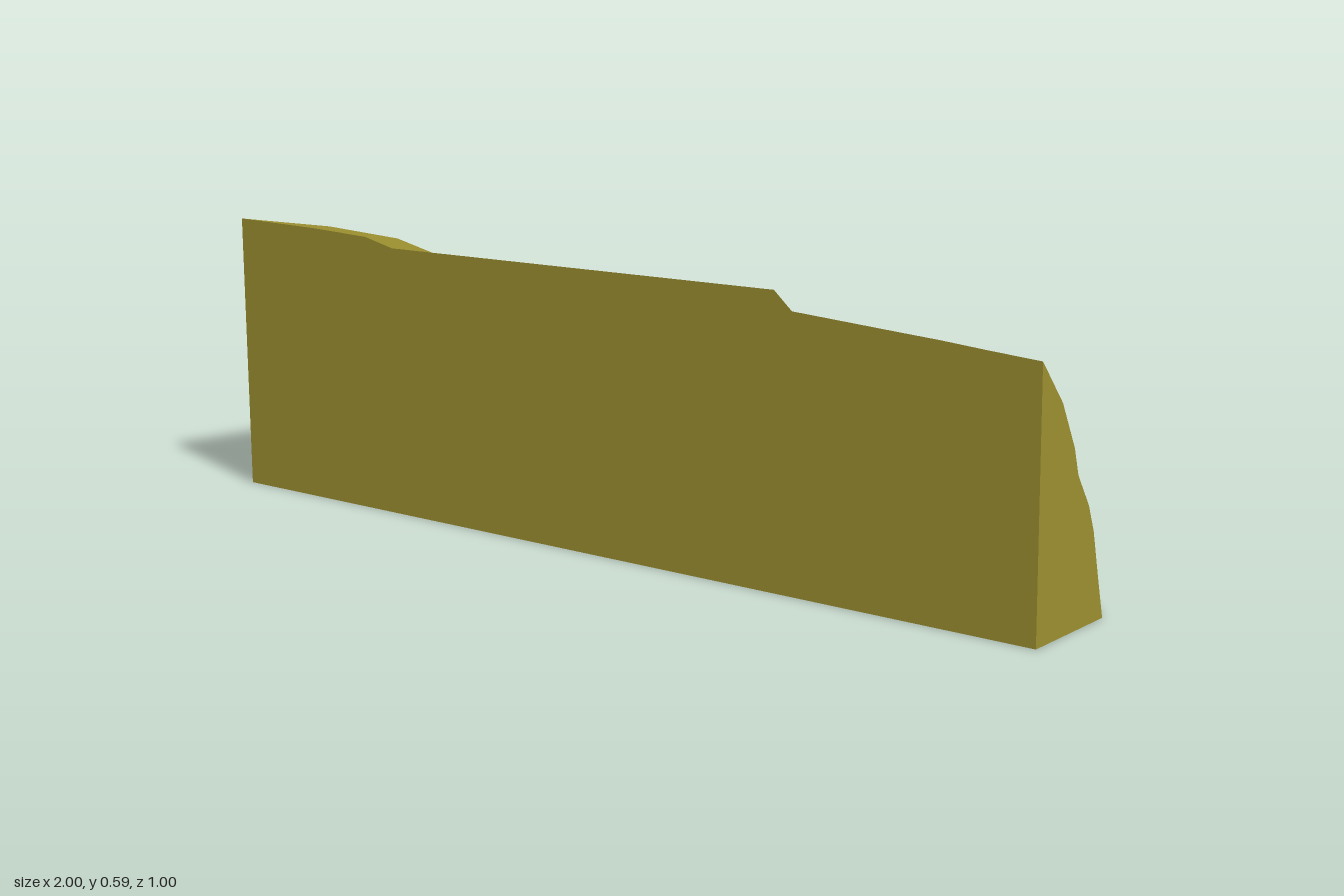
import * as THREE from 'three';

// Slope profiles as z and y from the top front edge down to the back of the base
const profile = (z, y) => z.map((v, j) => new THREE.Vector2(v, y[j]));
const boulder = profile([.5, .25, .085, -.08, -.2, -.285, -.38, -.5], [.59, .55, .485, .395, .24, .14, .08, 0]);
const gully = profile([.5, .33, .17, .03, -.06, -.13, -.22, -.32], [.578, .47, .385, .305, .19, .1, .04, 0]);
const bank = profile([.5, .4, .29, .18, .1, .02, -.07, -.12], [.56, .46, .345, .275, .18, .1, .025, 0]);
const tip = profile([.5, .43, .385, .37, .33, .31, .29, .27], [.49, .41, .325, .275, .215, .165, .08, 0]);

// Section at x: blend two profiles, then move its top edge and its foot, with the shift fading along the slope
function section(x, from, to, t, top, foot) {
  const pts = from.map((p, j) => p.clone().lerp(to[j], t));
  const last = pts.length - 1;
  const rise = top - pts[0].y, push = foot - pts[last].x;
  return pts.map((p, j) => new THREE.Vector3(
    x, p.y + rise * (1 - j / last) ** 4, p.x + push * (j / last) ** 4));
}

const sections = [
  section(-1, boulder, boulder, 0, .59, -.5),
  section(-.77, boulder, gully, .1, .585, -.385),
  section(-.61, gully, gully, 0, .578, -.32),
  section(-.53, gully, bank, .5, .56, -.265),
  section(-.45, bank, bank, 0, .56, -.207),
  section(0, bank, bank, 0, .56, -.12),
  section(.45, bank, bank, 0, .56, -.09),
  section(.49, bank, bank, 0, .525, -.075),
  section(.72, bank, bank, 0, .51, .01),
  section(.8, bank, tip, .2, .505, .04),
  section(.9, bank, tip, .6, .497, .14),
  section(1, tip, tip, 0, .49, .27),
];

function build(points, index) {
  const g = new THREE.BufferGeometry().setFromPoints(points);
  g.setIndex(index);
  g.computeVertexNormals();
  return g;
}

// Skin joining neighbouring rows of points
function skin(rows) {
  const index = [], n = rows[0].length;
  for (let i = 0; i < rows.length - 1; i++) {
    for (let j = 0; j < n - 1; j++) {
      const a = i * n + j, b = a + n;
      index.push(a, b, a + 1, b, b + 1, a + 1);
    }
  }
  return build(rows.flat(), index);
}

// Bottom front corner of a section
const corner = s => new THREE.Vector3(s[0].x, 0, .5);

// Flat end wall: a fan from the bottom front corner
function endWall(s, flip) {
  const index = [];
  for (let j = 1; j < s.length; j++) index.push(0, ...(flip ? [j + 1, j] : [j, j + 1]));
  return build([corner(s), ...s], index);
}

export function createModel() {
  const group = new THREE.Group();
  group.name = 'rockSlope';
  const rock = new THREE.MeshStandardMaterial({ color: 0x9c9030 });
  rock.name = 'olive rock';
  const add = (name, geometry) => {
    const mesh = new THREE.Mesh(geometry, rock);
    mesh.name = name;
    group.add(mesh);
  };

  add('slope', skin(sections));
  add('frontWall', skin(sections.map(s => [corner(s), s[0]])));
  add('base', skin(sections.map(s => [s.at(-1), corner(s)])));
  add('rightEnd', endWall(sections[0], false));
  add('leftEnd', endWall(sections.at(-1), true));
  return group;
}
